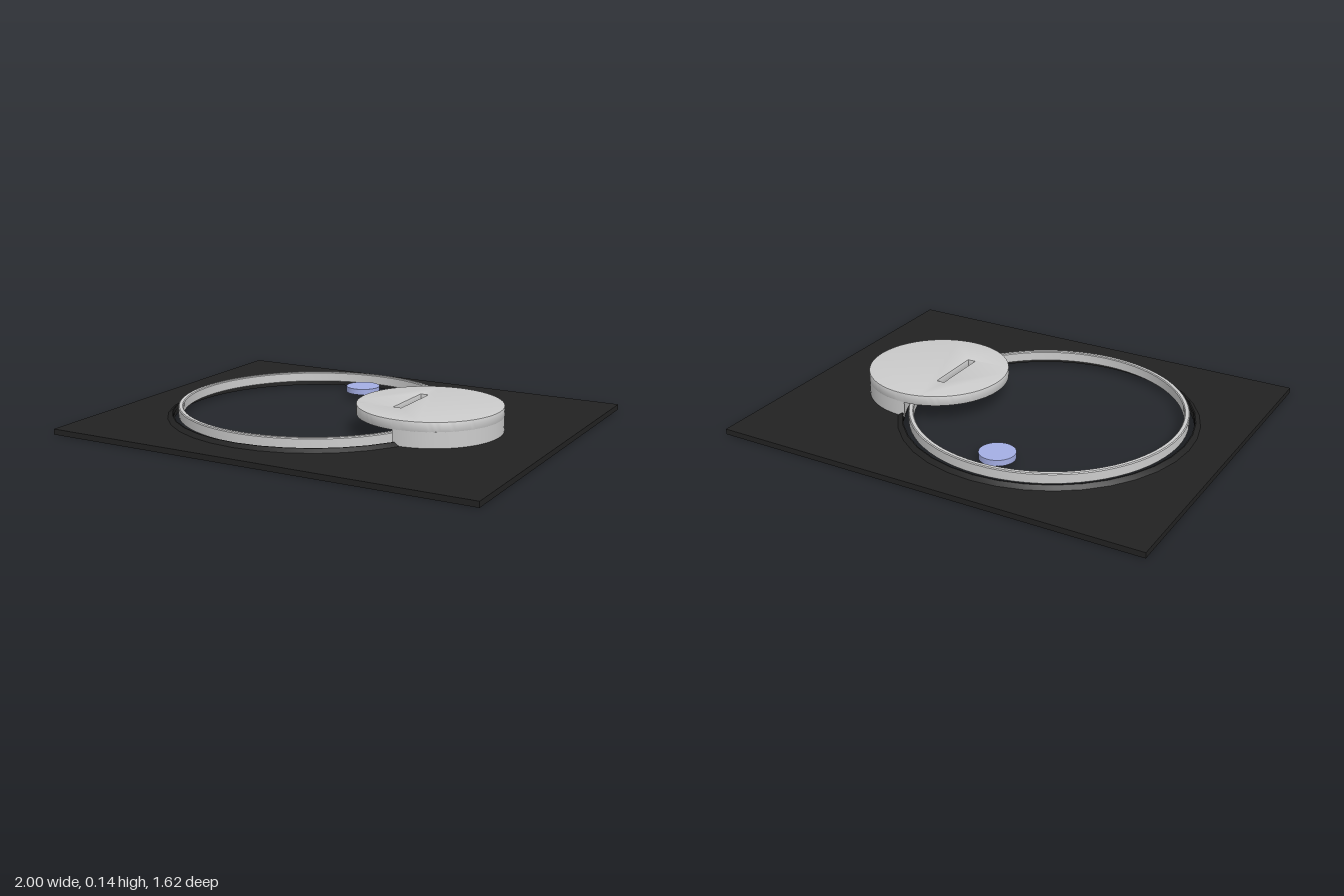
import * as THREE from 'three';
import { toCreasedNormals } from 'three/addons/utils/BufferGeometryUtils.js';

const HOLE = { x: -0.16, r: 0.645 };
const KNOB = { x: 0.415, r: 0.321 };

const mat = (color) => new THREE.MeshStandardMaterial({ color, side: THREE.DoubleSide });
const grey = mat(0xcccccc);
const black = mat(0x222222);
const blue = mat(0xa4aee4);

function add(group, name, geometry, material, x = 0, z = 0) {
  const mesh = new THREE.Mesh(toCreasedNormals(geometry, 0.5), material);
  mesh.name = name;
  mesh.position.set(x, 0, z);
  group.add(mesh);
}

// Extrude a plan outline upwards from y0 to y1
function slab(shape, y0, y1, segments, bevel = 0) {
  const geo = new THREE.ExtrudeGeometry(shape, {
    depth: y1 - y0 - 2 * bevel, curveSegments: segments, bevelEnabled: bevel > 0,
    bevelSize: bevel, bevelThickness: bevel, bevelOffset: -bevel, bevelSegments: 2,
  });
  return geo.rotateX(-Math.PI / 2).translate(0, y0 + bevel, 0);
}

// Closed turned profile from [radius, height] pairs
const turned = (profile, segments) =>
  new THREE.LatheGeometry([...profile, profile[0]].map(([r, y]) => new THREE.Vector2(r, y)), segments);

function rect(target, x0, x1, y0, y1) {
  target.moveTo(x0, y0);
  target.lineTo(x1, y0);
  target.lineTo(x1, y1);
  target.lineTo(x0, y1);
  target.closePath();
  return target;
}

export function createModel() {
  const group = new THREE.Group();

  // Base plate with a large round opening
  const plate = rect(new THREE.Shape(), -1, 1, -0.81, 0.81);
  plate.holes.push(new THREE.Path().absarc(HOLE.x, 0, HOLE.r, 0, Math.PI * 2, true));
  add(group, 'basePlate', slab(plate, 0, 0.025, 36), black);

  // Sloped lip around the opening
  add(group, 'openingLip',
    turned([[0.672, 0.024], [0.65, 0.04], [HOLE.r, 0.04], [HOLE.r, 0.024]], 36), black, HOLE.x);

  // Slim ring standing inside the opening
  add(group, 'ring', turned([
    [0.602, 0.027], [0.617, 0.027], [0.621, 0.031], [0.621, 0.071],
    [0.617, 0.075], [0.602, 0.075], [0.598, 0.071], [0.598, 0.031],
  ], 72), grey, HOLE.x);

  // Knob top: overhanging disc with a slot right through it
  const disc = new THREE.Shape().absarc(KNOB.x, 0, KNOB.r, 0, Math.PI * 2, false);
  disc.holes.push(rect(new THREE.Path(), 0.305, 0.34, -0.133, 0.133));
  add(group, 'knobTop', slab(disc, 0.09, 0.137, 64, 0.004), grey);

  // Knob foot: crescent cut away along the opening
  const cut = 0.64;
  const d = KNOB.x - HOLE.x;
  const cx = (cut ** 2 + d ** 2 - KNOB.r ** 2) / (2 * d);
  const cy = Math.sqrt(cut ** 2 - cx ** 2);
  const outer = Math.atan2(cy, cx - d);
  const inner = Math.atan2(cy, cx);
  const foot = new THREE.Shape();
  foot.absarc(KNOB.x, 0, KNOB.r, -outer, outer, false);
  foot.absarc(HOLE.x, 0, cut, inner, -inner, true);
  add(group, 'knobFoot', slab(foot, 0.02, 0.095, 40), grey);

  // Small button floating at the back of the opening
  add(group, 'button',
    new THREE.CylinderGeometry(0.08, 0.08, 0.027, 32).translate(0, 0.041, 0), blue, HOLE.x, -0.45);

  return group;
}
